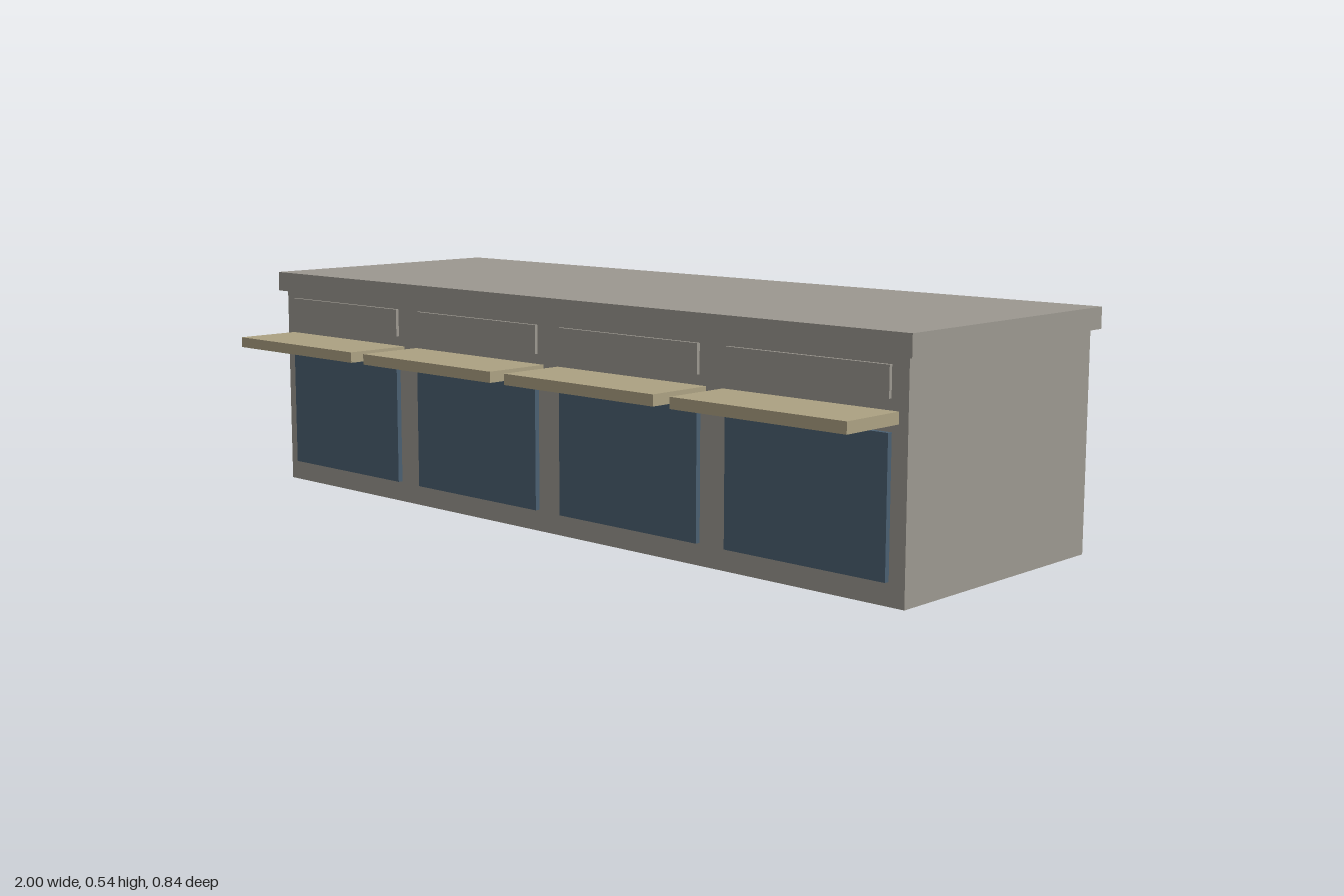
import * as THREE from 'three';

const stone = new THREE.MeshStandardMaterial({ name: 'warm grey', color: 0x9d9991 });
const glass = new THREE.MeshStandardMaterial({ name: 'slate blue', color: 0x4b6072 });
const wood = new THREE.MeshStandardMaterial({ name: 'tan', color: 0xada283 });

// Box given by its centre x, width, and y and z ranges
function block(name, material, x, width, [y0, y1], [z0, z1]) {
  const mesh = new THREE.Mesh(new THREE.BoxGeometry(width, y1 - y0, z1 - z0), material);
  mesh.name = name;
  mesh.position.set(x, (y0 + y1) / 2, (z0 + z1) / 2);
  return mesh;
}

export function createModel() {
  const model = new THREE.Group();
  model.name = 'shopRow';

  // Main building and overhanging roof slab
  model.add(block('body', stone, 0, 1.967, [0, 0.494], [-0.402, 0.255]));
  model.add(block('roofSlab', stone, 0, 2, [0.494, 0.542], [-0.418, 0.271]));

  // Four identical shop bays: window, awning and sign panel
  const spacing = 0.492;
  for (let i = 0; i < 4; i++) {
    const x = (i - 1.5) * spacing;
    const bay = new THREE.Group();
    bay.name = `shopBay${i + 1}`;
    bay.add(block('shopWindow', glass, x, 0.414, [0.05, 0.345], [0.25, 0.267]));
    bay.add(block('awning', wood, x, 0.446, [0.362, 0.387], [0.254, 0.418]));
    bay.add(block('signPanel', stone, x, 0.414, [0.411, 0.477], [0.258, 0.266]));
    model.add(bay);
  }
  return model;
}
